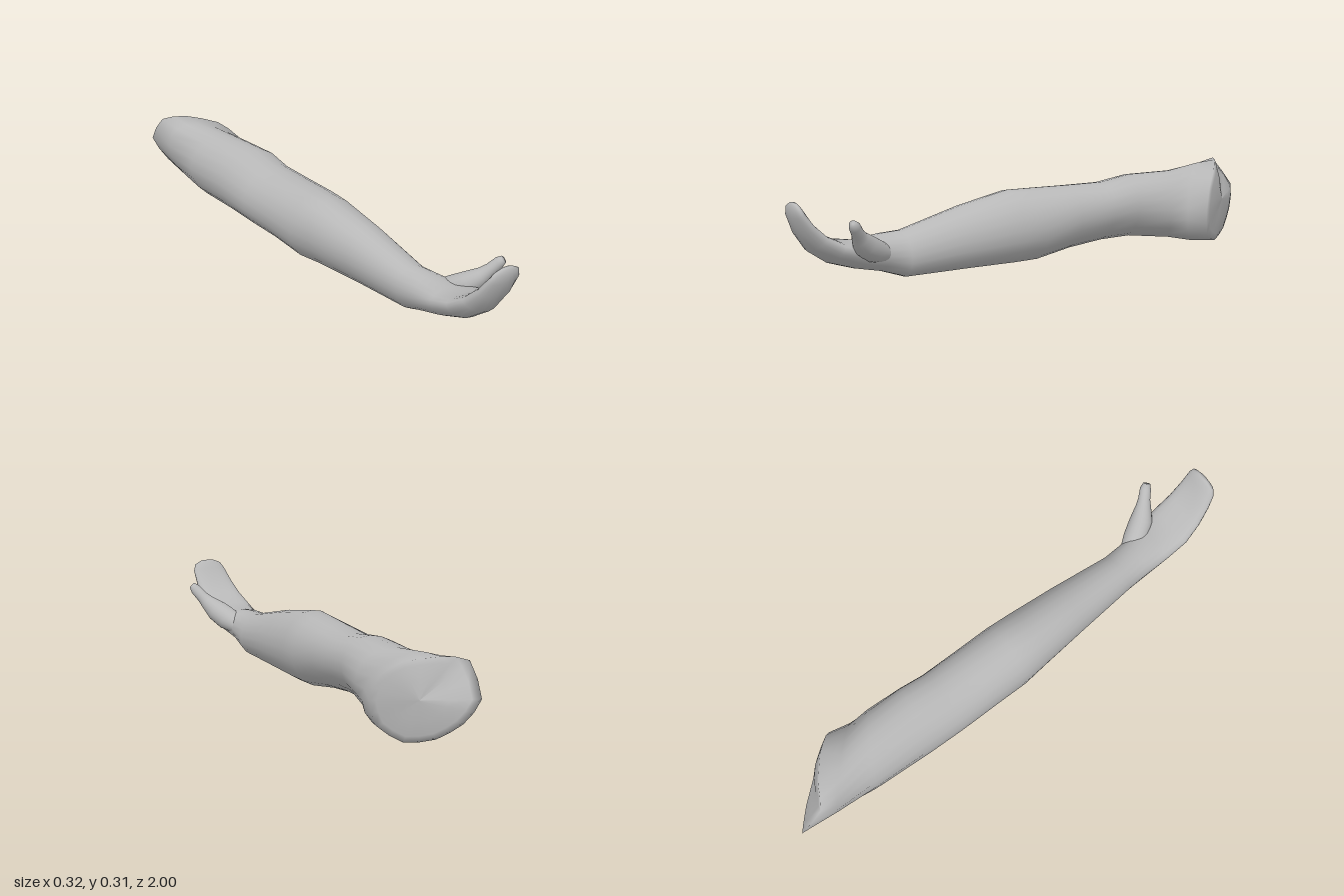
import * as THREE from 'three';

const SIDES = 20;

// Skin a list of closed rings (arrays of Vector3), with smooth normals.
function loft(rings) {
  const pos = [], idx = [];
  rings.forEach(r => r.forEach(p => pos.push(p.x, p.y, p.z)));
  for (let i = 0; i < rings.length - 1; i++) {
    for (let j = 0; j < SIDES; j++) {
      const a = i * SIDES + j, b = i * SIDES + (j + 1) % SIDES;
      idx.push(a, b, a + SIDES, b, b + SIDES, a + SIDES);
    }
  }
  // close the far end
  const c = centre(rings[rings.length - 1]);
  pos.push(c.x, c.y, c.z);
  const base = (rings.length - 1) * SIDES;
  for (let j = 0; j < SIDES; j++) idx.push(base + j, base + (j + 1) % SIDES, rings.length * SIDES);
  const g = new THREE.BufferGeometry();
  g.setAttribute('position', new THREE.Float32BufferAttribute(pos, 3));
  g.setIndex(idx);
  g.computeVertexNormals();
  return g;
}

function centre(ring) {
  return ring.reduce((s, p) => s.add(p), new THREE.Vector3()).divideScalar(SIDES);
}

// One cross-section: tilt leans it back, shear slants it across x,
// skew pushes its top towards -x, cup lifts its edges.
function section([z, y, x, rx, ry, tilt = 0, shear = 0, skew = 0, cup = 0]) {
  return Array.from({ length: SIDES }, (_, j) => {
    const a = j / SIDES * Math.PI * 2;
    const u = Math.cos(a), v = Math.sin(a) * ry + cup * (u * u - 0.3);
    const px = x + u * rx - skew * v;
    return new THREE.Vector3(px, y + v * Math.cos(tilt), z - v * Math.sin(tilt) + shear * px);
  });
}

export function createModel() {
  const group = new THREE.Group();
  const skin = new THREE.MeshStandardMaterial({ color: 0xb8b8b8, side: THREE.DoubleSide });
  skin.name = 'skin';
  const add = (name, geometry) => {
    const mesh = new THREE.Mesh(geometry, skin);
    mesh.name = name;
    group.add(mesh);
  };

  // Rim of the slanted shoulder end, counter-clockwise from its inner side
  const rimCurve = new THREE.CatmullRomCurve3([
    [0.13, 0.14, -0.69], [0.105, 0.23, -0.72], [0.05, 0.285, -0.78], [-0.05, 0.31, -0.86],
    [-0.13, 0.3, -0.91], [-0.125, 0.19, -1], [-0.08, 0.1, -0.96], [-0.02, 0.035, -0.885],
    [0.05, 0.008, -0.79], [0.108, 0.05, -0.71],
  ].map(p => new THREE.Vector3(...p)), true, 'catmullrom', 0.3);
  const rim = Array.from({ length: SIDES }, (_, j) => rimCurve.getPoint(j / SIDES));

  // Low dome that closes the shoulder end, from its middle out to the rim
  const middle = centre(rim), bulge = new THREE.Vector3(0.018, 0, -0.015);
  const dome = [0, 0.5, 0.85].map(t => rim.map(p =>
    middle.clone().lerp(p, t).addScaledVector(bulge, 1 - t * t)));

  // Arm and hand towards the fingertips: z, y, x, rx, ry, tilt, shear, skew, cup
  const sections = [
    [-0.72, 0.16, -0.012, 0.121, 0.144, 0, 0.95, 0.25],
    [-0.6, 0.16, -0.02, 0.125, 0.13, 0, 0.6, 0],
    [-0.42, 0.17, -0.034, 0.123, 0.122, 0, 0.2, -0.15],
    [-0.3, 0.158, -0.039, 0.12, 0.114, 0, 0, -0.17],
    [-0.15, 0.151, -0.038, 0.122, 0.121, 0, 0, -0.08],
    [0, 0.139, -0.036, 0.125, 0.135, 0, 0, 0],
    [0.1, 0.139, -0.034, 0.119, 0.135, 0, 0, 0.08],
    [0.3, 0.12, -0.028, 0.102, 0.115, 0, 0, 0.1],
    [0.55, 0.087, -0.022, 0.078, 0.084, 0, 0, 0.1],
    [0.64, 0.1, -0.022, 0.077, 0.068],
    [0.74, 0.108, -0.015, 0.087, 0.05, 0.2, 0, 0, 0.012],
    [0.83, 0.13, -0.012, 0.091, 0.043, 0.5, 0, 0, 0.02],
    [0.9, 0.17, -0.006, 0.083, 0.038, 0.75, 0, 0, 0.02],
    [0.95, 0.225, 0.002, 0.075, 0.031, 0.95, 0, 0, 0.012],
    [0.977, 0.275, 0.009, 0.068, 0.024, 1.1],
    [0.985, 0.3, 0.012, 0.056, 0.016, 1.2],
    [0.987, 0.314, 0.014, 0.026, 0.008, 1.2],
  ];
  add('armAndHand', loft([...dome, rim, ...sections.map(section)]));

  // Thumb: rings across its axis, swelling into the palm
  const points = [
    [0.015, 0.1, 0.64, 0.035], [0.045, 0.125, 0.7, 0.046], [0.073, 0.153, 0.746, 0.043],
    [0.1, 0.183, 0.777, 0.03], [0.117, 0.205, 0.793, 0.023],
    [0.138, 0.234, 0.814, 0.021], [0.147, 0.248, 0.826, 0.014],
  ];
  const axis = new THREE.Vector3(0.5, 0.6, 0.62).normalize();
  const turn = new THREE.Quaternion().setFromUnitVectors(new THREE.Vector3(0, 0, 1), axis);
  add('thumb', loft(points.map(([x, y, z, r]) => section([0, 0, 0, r, r])
    .map(p => p.applyQuaternion(turn).add(new THREE.Vector3(x, y, z))))));

  return group;
}
